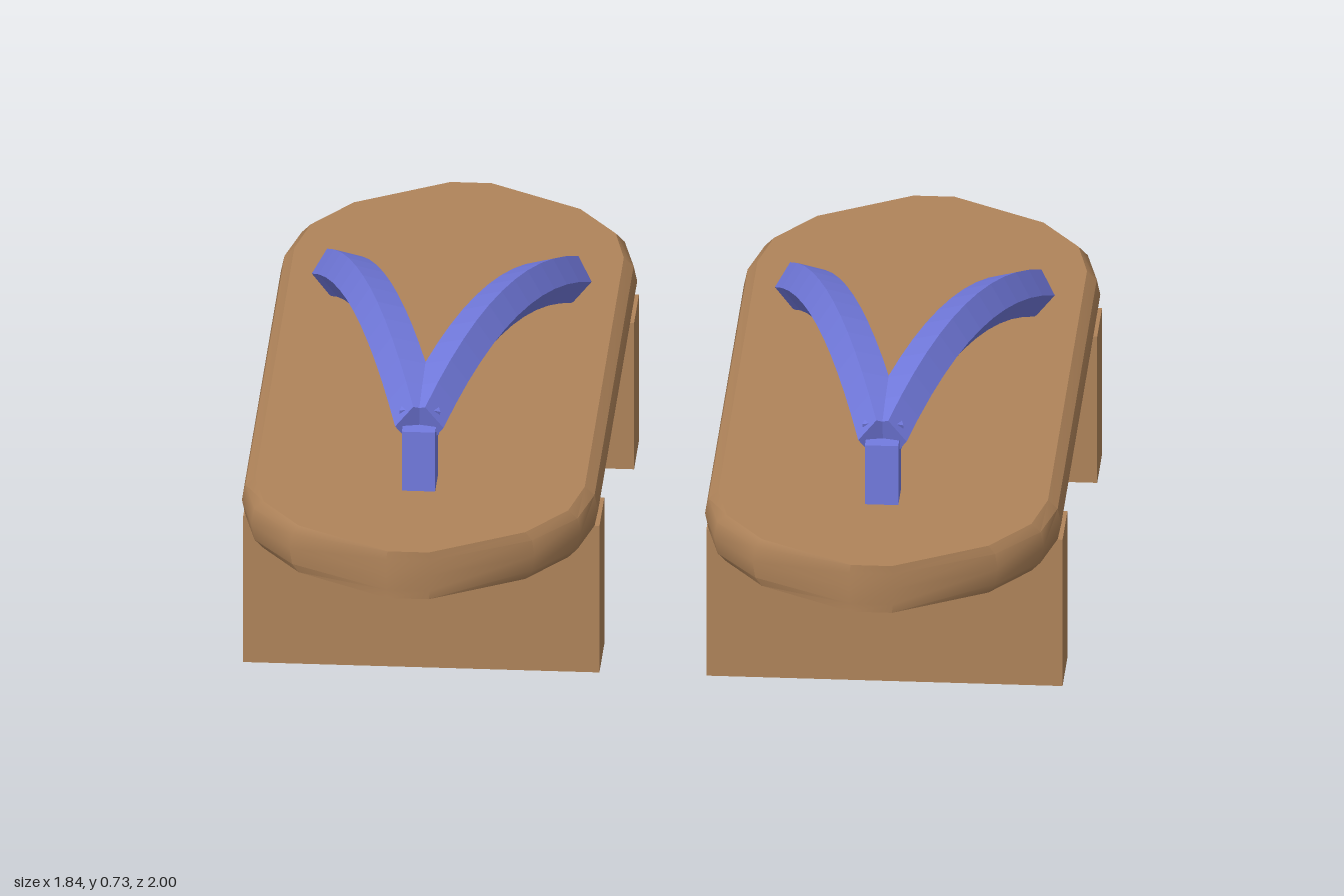
import * as THREE from 'three';
import { toCreasedNormals } from 'three/addons/utils/BufferGeometryUtils.js';

const wood = new THREE.MeshStandardMaterial({ color: 0xb0845a });
wood.name = 'wood';
const cord = new THREE.MeshStandardMaterial({ color: 0x737be0 });
cord.name = 'blue cord';

function add(parent, name, geometry, material, x = 0, y = 0, z = 0) {
  const mesh = new THREE.Mesh(geometry, material);
  mesh.name = name;
  mesh.position.set(x, y, z);
  parent.add(mesh);
  return mesh;
}

// Long rounded board: one outline stacked in rings, narrowed at top and bottom
function soleGeometry() {
  const quarter = [[0.4, 0.62], [0.37, 0.75], [0.275, 0.875], [0.05, 1]];
  const half = [...quarter, ...quarter.map(([x, z]) => [-x, z]).reverse()];
  const outline = [...half, ...half.map(([x, z]) => [-x, -z])];
  // [x scale, z scale, height]; zero scale closes the ends
  const rings = [
    [0, 0, 0.36], [0.925, 1, 0.36], [0.98, 1, 0.38], [1, 1, 0.418],
    [0.98, 1, 0.455], [0.925, 1, 0.475], [0, 0, 0.475],
  ];
  const n = outline.length;
  const positions = [];
  const index = [];
  rings.forEach(([sx, sz, y], k) => {
    outline.forEach(([x, z], i) => {
      positions.push(x * sx, y, z * sz);
      if (k === rings.length - 1) return;
      const a = k * n + i;
      const b = k * n + (i + 1) % n;
      if (k < rings.length - 2) index.push(a, a + n, b);
      else index.push(a, a + n, b);
      if (k > 0 || sx === 0) index.push(b, a + n, b + n);
    });
  });
  const geometry = new THREE.BufferGeometry();
  geometry.setAttribute('position', new THREE.Float32BufferAttribute(positions, 3));
  geometry.setIndex(index);
  return toCreasedNormals(geometry, 0.62);
}

// Five-sided capped cord, bent along an arch from the toe post to the side
function strapGeometry(side) {
  const curve = new THREE.QuadraticBezierCurve3(
    new THREE.Vector3(0, 0.62, 0.63),
    new THREE.Vector3(side * 0.13, 0.7625, 0.115),
    new THREE.Vector3(side * 0.26, 0.52, -0.4),
  );
  const bar = new THREE.CylinderGeometry(0.056, 0.056, 1, 5, 12, false, side * Math.PI / 2);
  const p = bar.attributes.position;
  const up = new THREE.Vector3(0, 1, 0);
  for (let i = 0; i < p.count; i++) {
    const t = p.getY(i) + 0.5;
    const tangent = curve.getTangent(t);
    const across = tangent.clone().cross(up).normalize();
    const normal = across.clone().cross(tangent);
    const point = curve.getPoint(t)
      .addScaledVector(across, p.getX(i))
      .addScaledVector(normal, p.getZ(i));
    p.setXYZ(i, point.x, point.y, point.z);
  }
  const flat = bar.toNonIndexed();
  flat.computeVertexNormals();
  return flat;
}

function createSandal(name, x) {
  const sandal = new THREE.Group();
  sandal.name = name;
  sandal.position.x = x;
  add(sandal, 'sole', soleGeometry(), wood);

  // Two cross blocks under the sole
  const block = new THREE.BoxGeometry(0.8, 0.36, 0.155);
  add(sandal, 'frontBlock', block, wood, 0, 0.18, 0.502);
  add(sandal, 'backBlock', block, wood, 0, 0.18, -0.598);

  // Toe post, its knot below the sole, and the two straps
  add(sandal, 'toePost', new THREE.BoxGeometry(0.075, 0.27, 0.085), cord, 0, 0.485, 0.628);
  add(sandal, 'knot', new THREE.SphereGeometry(0.06, 16, 12), cord, 0, 0.325, 0.628);
  add(sandal, 'leftStrap', strapGeometry(1), cord);
  add(sandal, 'rightStrap', strapGeometry(-1), cord);
  return sandal;
}

export function createModel() {
  const model = new THREE.Group();
  model.name = 'woodenSandals';
  model.add(createSandal('leftSandal', 0.52), createSandal('rightSandal', -0.52));
  return model;
}
